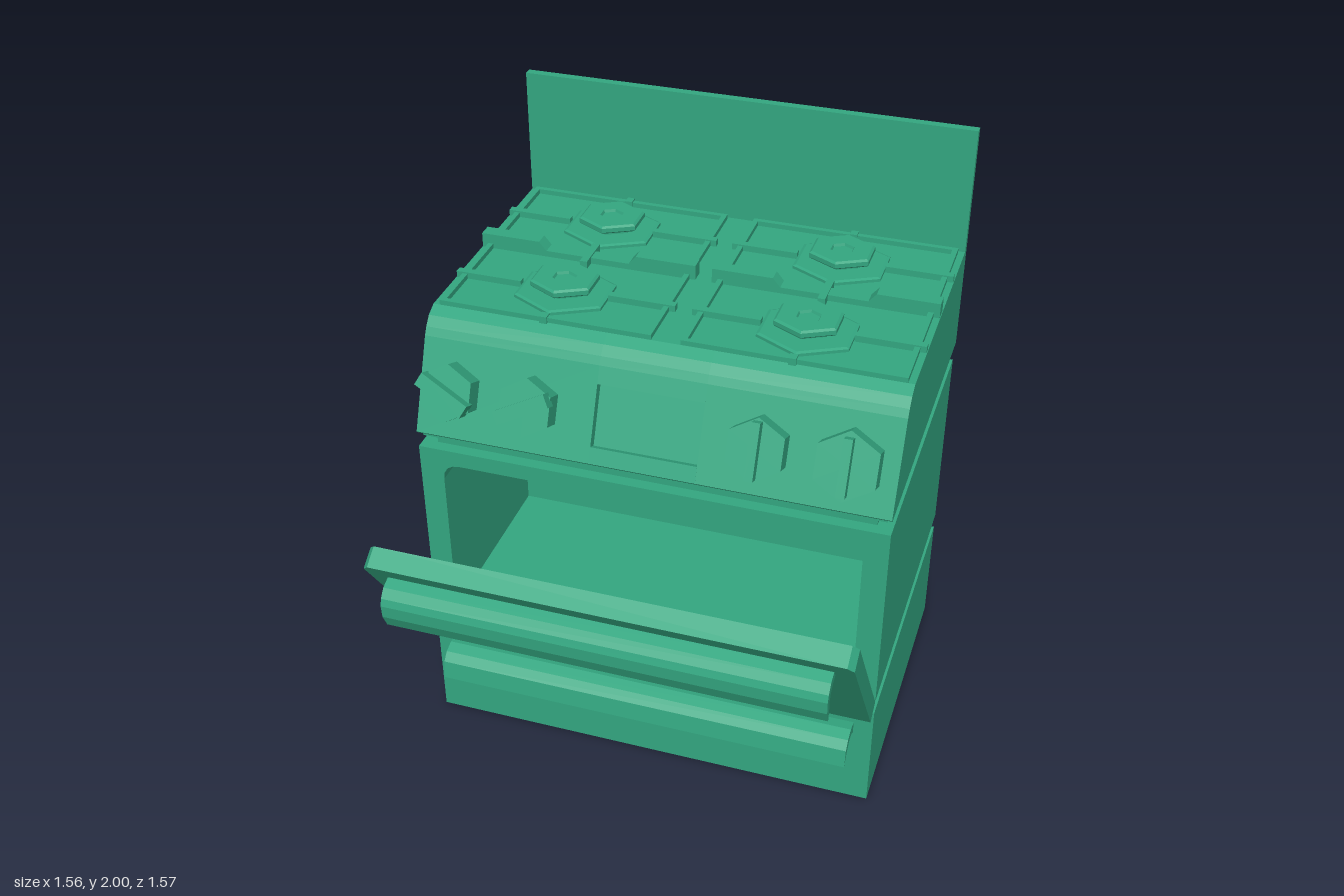
import * as THREE from 'three';

const material = new THREE.MeshStandardMaterial({ color: 0x33a680, flatShading: true, side: THREE.DoubleSide });

export function createModel() {
  const model = new THREE.Group();
  model.name = 'gasStove';

  const add = (name, geometry, parent = model) => {
    const mesh = new THREE.Mesh(geometry, material);
    mesh.name = name;
    parent.add(mesh);
    return mesh;
  };
  // Box given by its limits on each axis
  const block = (name, x0, x1, y0, y1, z0, z1, parent) =>
    add(name, new THREE.BoxGeometry(x1 - x0, y1 - y0, z1 - z0)
      .translate((x0 + x1) / 2, (y0 + y1) / 2, (z0 + z1) / 2), parent);
  const polygon = (points) => new THREE.Shape(points.map(([a, b]) => new THREE.Vector2(a, b)));
  const extrude = (shape, depth) =>
    new THREE.ExtrudeGeometry(shape, { depth, bevelEnabled: false, curveSegments: 4 });
  // Side profile of [z, y] points swept from x0 to x1
  const sweepX = (name, points, x0, x1, parent) =>
    add(name, extrude(polygon(points), x1 - x0).rotateY(-Math.PI / 2).translate(x1, 0, 0), parent);
  const rect = (x0, x1, y0, y1) => [[x0, y0], [x1, y0], [x1, y1], [x0, y1]];

  // Storage drawer and the recessed bands between the sections
  block('drawerSection', -0.78, 0.78, 0, 0.4, -0.75, 0.3);
  block('lowerNeck', -0.71, 0.71, 0.4, 0.455, -0.68, 0.235);
  block('upperNeck', -0.73, 0.73, 1.14, 1.185, -0.72, 0.26);
  block('hobLip', -0.765, 0.765, 1.18, 1.2, -0.74, 0.29);

  // Oven body with an open cavity, rounded at the top corners
  const front = polygon(rect(-0.78, 0.78, 0.455, 1.14));
  const mouth = new THREE.Path();
  mouth.moveTo(-0.7, 0.48);
  mouth.lineTo(-0.7, 1.025);
  mouth.quadraticCurveTo(-0.7, 1.085, -0.64, 1.085);
  mouth.lineTo(0.64, 1.085);
  mouth.quadraticCurveTo(0.7, 1.085, 0.7, 1.025);
  mouth.lineTo(0.7, 0.48);
  front.holes.push(mouth);
  add('ovenBody', extrude(front, 0.67).translate(0, 0, -0.37));
  block('ovenBack', -0.78, 0.78, 0.455, 1.14, -0.75, -0.37);

  // Hob housing with a sloped control panel, notched in the middle for the display
  const crown = [[0.18, 1.49], [0.165, 1.515], [0.14, 1.543], [0.1, 1.562], [-0.755, 1.562], [-0.755, 1.19]];
  const foot = [[0.295, 1.19], [0.305, 1.2]];
  const notch = [[0.284, 1.25], [0.254, 1.236], [0.174, 1.422], [0.204, 1.436]];
  sweepX('hobRight', [...foot, ...crown], -0.78, -0.19);
  sweepX('hobMiddle', [...foot, ...notch, ...crown], -0.19, 0.16);
  sweepX('hobLeft', [...foot, ...crown], 0.16, 0.78);
  block('backsplash', -0.78, 0.78, 1.19, 2, -0.785, -0.755);

  // Oven door, hanging partly open, with a recessed window on both faces
  const door = new THREE.Group();
  door.name = 'ovenDoor';
  door.position.set(0, 0.455, 0.302);
  door.rotation.x = 0.605;
  model.add(door);
  const slab = polygon([[-0.78, 0], [0.78, 0], [0.78, 0.675], [0.76, 0.7], [-0.76, 0.7], [-0.78, 0.675]]);
  slab.holes.push(polygon(rect(-0.505, 0.505, 0.147, 0.497)));
  add('doorSlab', extrude(slab, 0.07), door);
  block('doorWindow', -0.505, 0.505, 0.147, 0.497, 0.015, 0.055, door);

  // Hooked pull handles
  sweepX('doorHandle', [[0.69, 0.9], [0.71, 0.932], [0.752, 0.917], [0.775, 0.89], [0.783, 0.865],
    [0.78, 0.82], [0.757, 0.77], [0.752, 0.81], [0.757, 0.845], [0.745, 0.87], [0.72, 0.89]], -0.715, 0.715);
  sweepX('drawerHandle', [[0.29, 0.29], [0.29, 0.34], [0.342, 0.347], [0.38, 0.334], [0.406, 0.308],
    [0.416, 0.244], [0.405, 0.262], [0.39, 0.282], [0.353, 0.313], [0.325, 0.31]], -0.715, 0.715);

  // Six-sided knobs with a grip bar, facing out from the slope
  [[-0.65, 1.1, 0.095, 0.045], [-0.385, -1.1, 0.095, 0.045], [0.355, 0, 0.1, 0.028], [0.635, 0, 0.11, 0.028]]
    .forEach(([x, turn, radius, gripWidth]) => {
      const knob = new THREE.Group();
      knob.name = 'knob';
      knob.position.set(x, 1.345, 0.235);
      knob.rotation.x = -0.418;
      const hex = (r, w0, w1) =>
        new THREE.CylinderGeometry(r, r, w1 - w0, 6).rotateX(Math.PI / 2).translate(0, 0, (w0 + w1) / 2);
      add('knobCollar', hex(radius * 0.78, -0.02, 0.04), knob);
      add('knobBody', hex(radius, 0.04, 0.11), knob);
      const grip = block('knobGrip', -gripWidth / 2, gripWidth / 2, -0.09, 0.09, 0.1, 0.148, knob);
      grip.rotation.z = turn;
      model.add(knob);
    });

  // Hob: two pan supports, each over two burners
  const burnerProfile = [[0.155, 1.56], [0.155, 1.572], [0.145, 1.576], [0.07, 1.576], [0.07, 1.595],
    [0.1, 1.595], [0.105, 1.6], [0.105, 1.615], [0.097, 1.621], [0.038, 1.621], [0.034, 1.612], [0, 1.612]]
    .map(([r, y]) => new THREE.Vector2(r, y));
  for (const side of [-1, 1]) {
    const hob = new THREE.Group();
    hob.name = side < 0 ? 'rightHob' : 'leftHob';
    hob.position.x = side * 0.403;
    model.add(hob);

    // Outer frame
    const frame = polygon(rect(-0.355, 0.355, -0.1, 0.745));
    frame.holes.push(polygon(rect(-0.337, 0.337, -0.082, 0.727)));
    add('supportFrame', extrude(frame, 0.019).rotateX(-Math.PI / 2).translate(0, 1.56, 0), hob);

    // Burners and the fingers reaching towards them
    for (const z of [-0.55, -0.095]) {
      const burner = add('burner', new THREE.LatheGeometry(burnerProfile, 6), hob);
      burner.scale.x = 1.1;
      burner.position.z = z;
      for (const s of [-1, 1]) {
        const [a, b] = [s * 0.15, s * 0.375].sort((p, q) => p - q);
        block('supportFinger', a, b, 1.56, 1.584, z - 0.0125, z + 0.0125, hob);
      }
    }
    for (const z of [-0.737, 0.092])
      block('frameStub', -0.0125, 0.0125, 1.56, 1.584, z - 0.015, z + 0.015, hob);

    // Middle bar with raised ends, and its short cross piece
    const bar = polygon([[-0.375, 1.56], [0.375, 1.56], [0.375, 1.613], [0.17, 1.613], [0.145, 1.583],
      [-0.145, 1.583], [-0.17, 1.613], [-0.375, 1.613]]);
    add('supportBar', extrude(bar, 0.048).translate(0, 0, -0.348), hob);
    block('crossPiece', -0.0125, 0.0125, 1.56, 1.588, -0.39, -0.262, hob);
  }

  return model;
}
